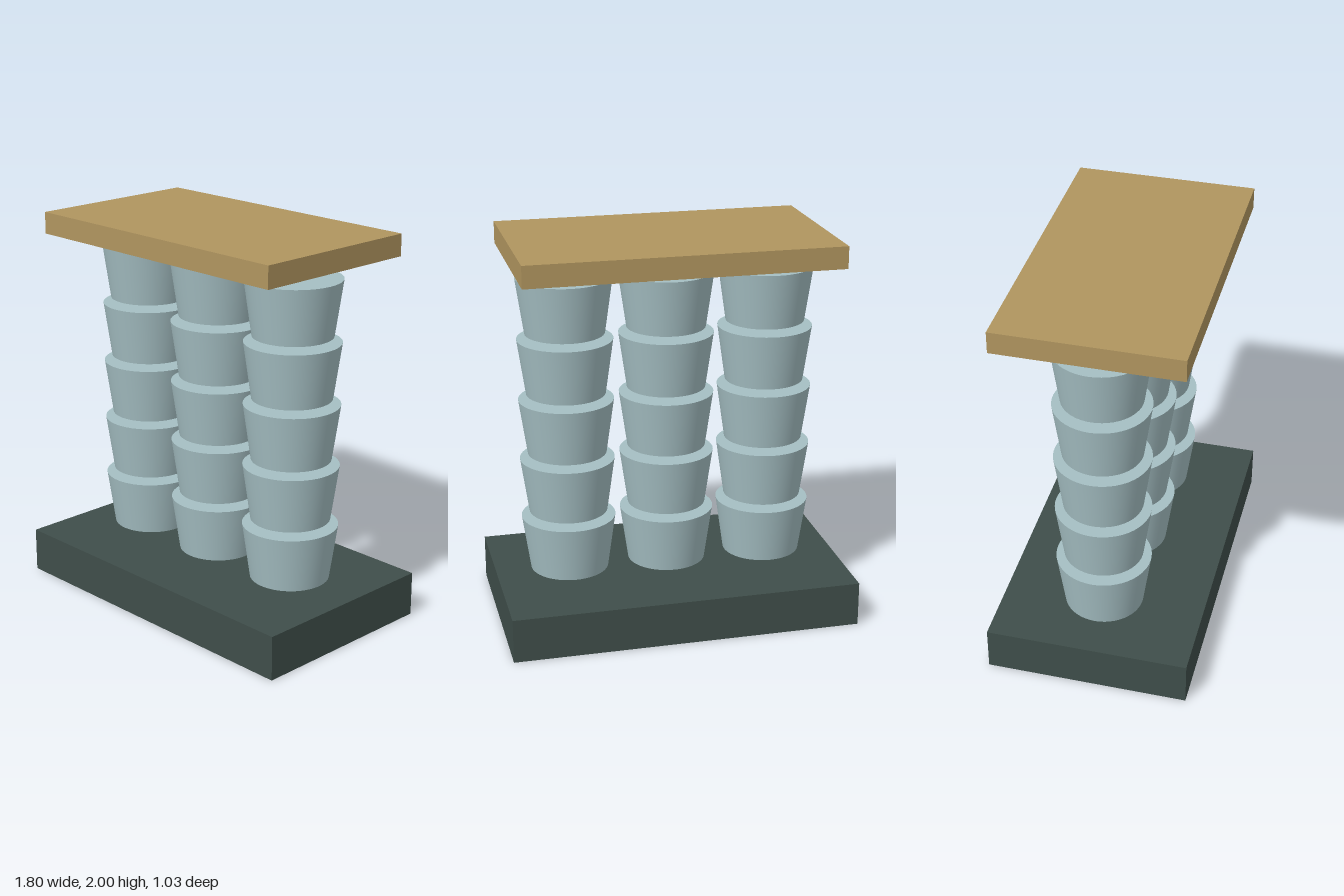
import * as THREE from 'three';

const material = (color) => new THREE.MeshStandardMaterial({ color });

function slab(name, width, height, depth, bottom, color) {
  const mesh = new THREE.Mesh(new THREE.BoxGeometry(width, height, depth), material(color));
  mesh.name = name;
  mesh.position.y = bottom + height / 2;
  return mesh;
}

export function createModel() {
  const model = new THREE.Group();
  model.name = 'columnStand';

  // Base and top slabs
  model.add(slab('base', 1.796, 0.23, 1.035, 0, 0x3f4e4a));
  model.add(slab('topBoard', 1.584, 0.112, 0.92, 1.888, 0xb0955f));

  // Three columns of five separate tapered drums, wider at the top
  const height = 0.287;
  const drum = new THREE.CylinderGeometry(0.242, 0.201, height, 48);
  const drumMaterial = material(0xa5bfc3);
  ['rightColumn', 'middleColumn', 'leftColumn'].forEach((name, i) => {
    const column = new THREE.Group();
    column.name = name;
    column.position.x = (i - 1) * 0.518;
    for (let row = 0; row < 5; row++) {
      const mesh = new THREE.Mesh(drum, drumMaterial);
      mesh.name = `drum${row + 1}`;
      mesh.position.y = 0.263 + height / 2 + row * 0.3162;
      column.add(mesh);
    }
    model.add(column);
  });

  return model;
}
